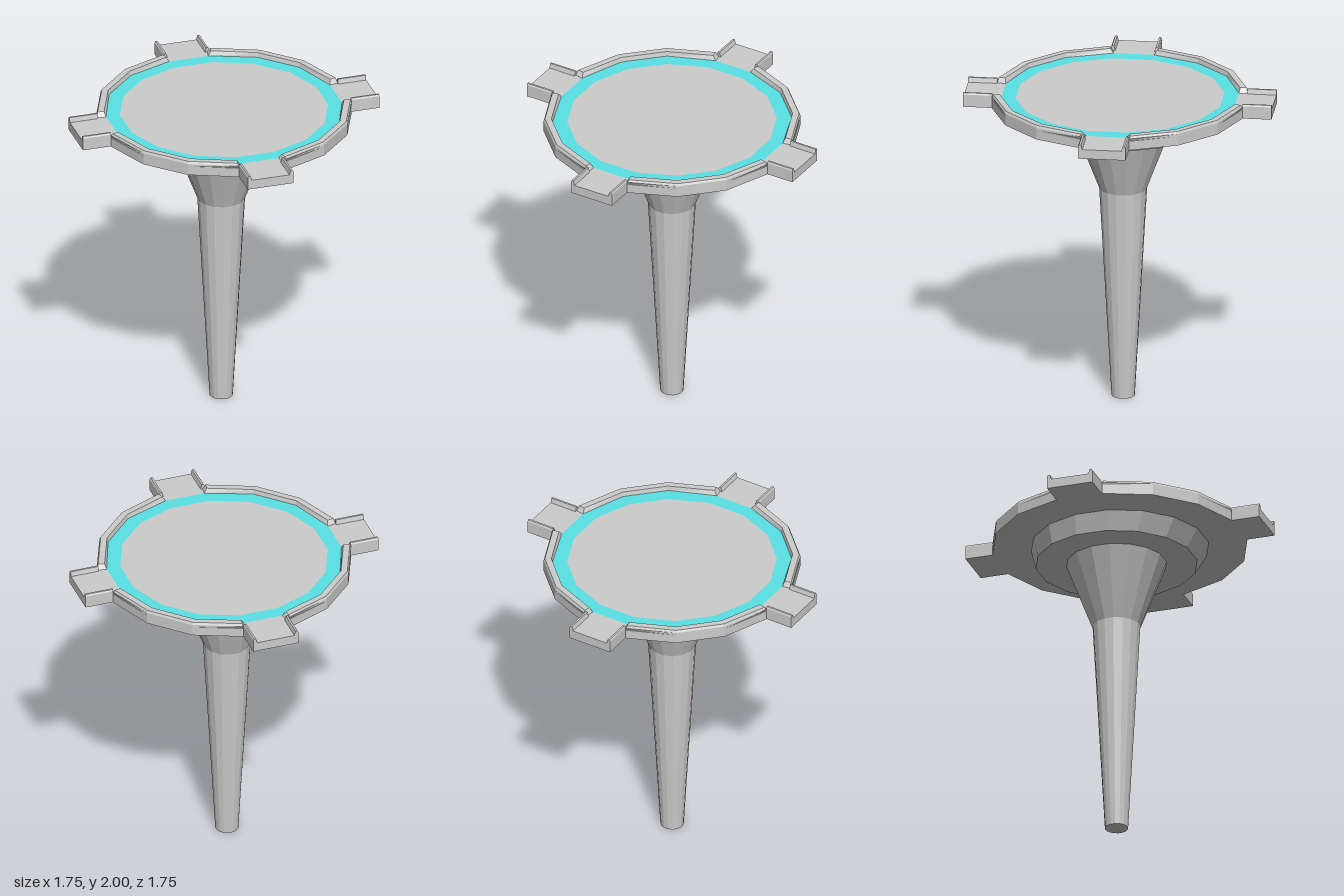
import * as THREE from 'three';

const SIDES = 16;
const STEP = (Math.PI * 2) / SIDES;
const BASE = 1.91, FLOOR = 1.97, TOP = 2.0;
const R = 0.79, INNER = 0.735;

const grey = new THREE.MeshStandardMaterial({ color: 0xcccccc, flatShading: true });
const teal = new THREE.MeshStandardMaterial({ color: 0x5ae1e6, flatShading: true });

function add(parent, name, geometry, material = grey) {
  const mesh = new THREE.Mesh(geometry, material);
  mesh.name = name;
  parent.add(mesh);
  return mesh;
}

// Faceted frustum between two heights; the lower end may be shifted along x
function frustum(rTop, rBottom, y0, y1, xTop, xBottom) {
  const g = new THREE.CylinderGeometry(rTop, rBottom, y1 - y0, SIDES);
  g.translate(0, (y0 + y1) / 2, 0);
  const p = g.attributes.position;
  for (let i = 0; i < p.count; i++) {
    p.setX(i, p.getX(i) + (p.getY(i) > (y0 + y1) / 2 ? xTop : xBottom));
  }
  g.computeVertexNormals();
  return g;
}

// Raised edge over three facets, with ends sloping down into the openings
function rimGeometry(first) {
  const profile = [[R, FLOOR], [R, 1.985], [0.782, TOP], [0.742, TOP], [INNER, FLOOR]];
  const n = profile.length, last = 3;
  const pos = [], index = [];
  for (let s = 0; s <= last; s++) {
    for (const [r, y] of profile) {
      const slope = y === FLOOR ? 0.025 : 0;
      const d = s === 0 ? -slope : s === last ? slope : 0;
      const a = (first + s) * STEP + d;
      const rr = d ? (r * Math.cos(STEP / 2)) / Math.cos(STEP / 2 - slope) : r;
      pos.push(Math.sin(a) * rr, y, Math.cos(a) * rr);
    }
  }
  for (let s = 0; s < last; s++) {
    for (let j = 0; j < n - 1; j++) {
      const a = s * n + j, b = a + n;
      index.push(a, b, b + 1, a, b + 1, a + 1);
    }
  }
  for (let j = 1; j < n - 1; j++) {
    index.push(0, j, j + 1);
    index.push(last * n, last * n + j + 1, last * n + j);
  }
  const g = new THREE.BufferGeometry();
  g.setAttribute('position', new THREE.Float32BufferAttribute(pos, 3));
  g.setIndex(index);
  const flat = g.toNonIndexed();
  flat.computeVertexNormals();
  return flat;
}

// Channel-shaped tab with a low lip on each side
function tabGeometry(start, end) {
  const w = 0.147;
  const shape = new THREE.Shape([
    [-w, BASE], [w, BASE], [w, 1.99], [w - 0.006, TOP], [w - 0.018, TOP], [w - 0.026, FLOOR],
    [-w + 0.026, FLOOR], [-w + 0.018, TOP], [-w + 0.006, TOP], [-w, 1.99],
  ].map(([x, y]) => new THREE.Vector2(x, y)));
  const g = new THREE.ExtrudeGeometry(shape, { depth: end - start, bevelEnabled: false });
  return g.translate(0, 0, start);
}

export function createModel() {
  const model = new THREE.Group();
  model.name = 'pedestalPlatform';

  // Slender stem, flaring under the platform
  const stemX = -0.022;
  add(model, 'stem', frustum(0.148, 0.072, 0, 1.365, stemX, stemX));
  add(model, 'stemFlare', frustum(0.31, 0.148, 1.365, 1.79, stemX, stemX));

  // Stepped collar and platform slab
  add(model, 'collar', frustum(0.55, 0.5, 1.79, BASE, 0, stemX));
  add(model, 'platform', frustum(R, R, BASE, FLOOR, 0, 0));

  // Coloured band lying on the platform floor
  const band = new THREE.RingGeometry(0.645, INNER, SIDES, 1);
  band.rotateX(-Math.PI / 2).translate(0, FLOOR + 0.0015, 0);
  add(model, 'floorBand', band, teal);

  // Four rim sections alternating with four docking tabs
  for (let q = 0; q < 4; q++) {
    add(model, 'rim', rimGeometry(3 + q * 4));
    const tab = add(model, 'dockingTab', tabGeometry(R * Math.cos(STEP / 2), 0.955));
    tab.rotation.y = (2.5 + q * 4) * STEP;
  }
  return model;
}
